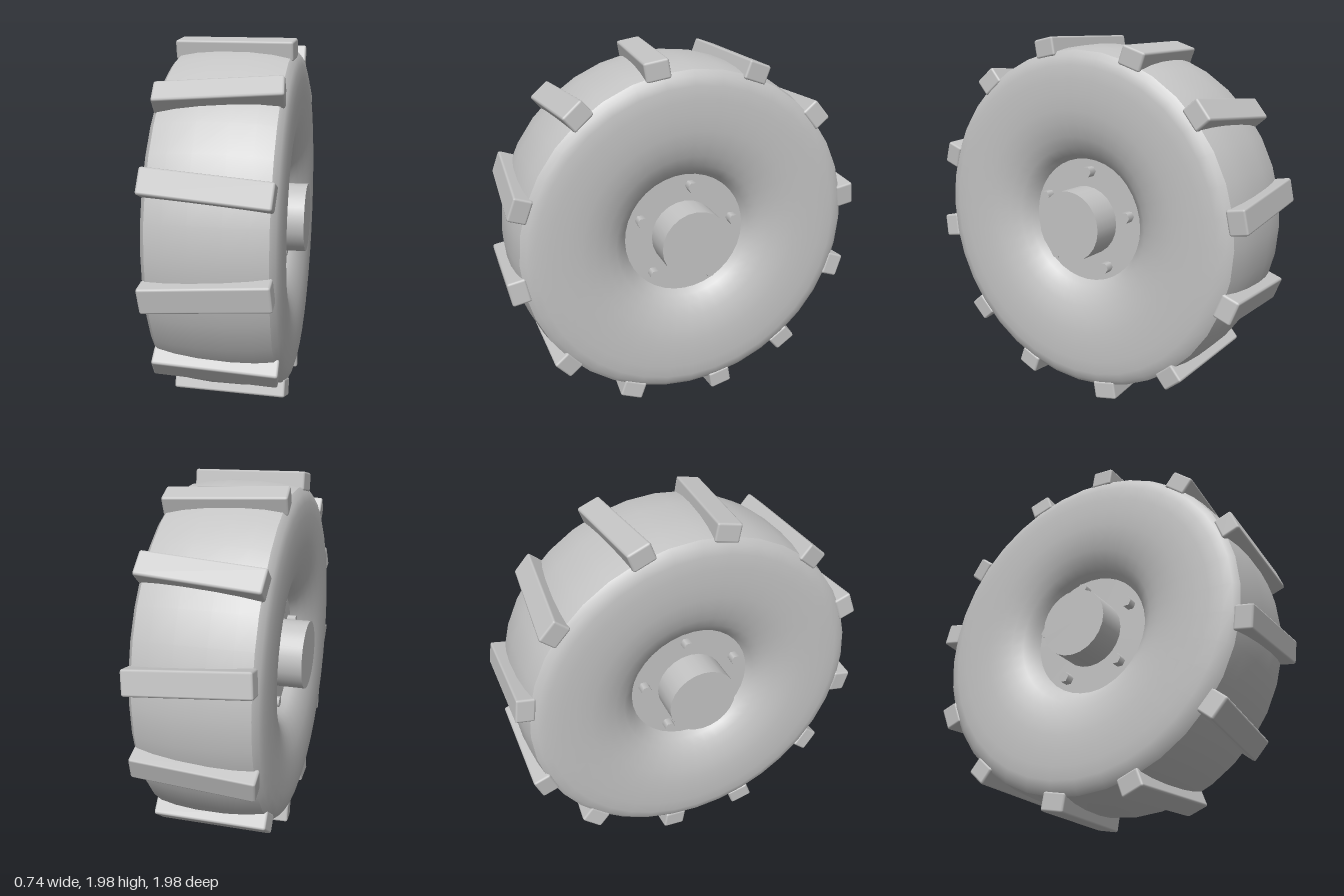
import * as THREE from 'three';
import { RoundedBoxGeometry } from 'three/addons/geometries/RoundedBoxGeometry.js';

const AXLE_HEIGHT = 0.98;
const SEGMENTS = 36;

export function createModel() {
  const grey = new THREE.MeshStandardMaterial({ color: 0xc4c4c4 });
  grey.name = 'plain grey';
  const wheel = new THREE.Group();
  wheel.name = 'wheel';
  wheel.position.y = AXLE_HEIGHT;

  const add = (name, geometry, parent = wheel) => {
    const mesh = new THREE.Mesh(geometry, grey);
    mesh.name = name;
    parent.add(mesh);
    return mesh;
  };
  // Geometry turned so that its own y axis runs along the axle (x)
  const alongAxle = (geometry) => geometry.rotateZ(-Math.PI / 2);
  // Surface of revolution from [x, radius] pairs
  const revolve = (pairs) => alongAxle(
    new THREE.LatheGeometry(pairs.map(([x, r]) => new THREE.Vector2(r, x)), SEGMENTS));

  // Slightly crowned tread band
  add('tread', revolve([[-0.29, 0.915], [-0.2, 0.932], [-0.08, 0.942], [0.08, 0.942], [0.2, 0.932], [0.29, 0.915]]));

  // Sidewall rolling over the lip and down into the dish
  const sidewall = revolve([
    [0.29, 0.915], [0.315, 0.885], [0.328, 0.84], [0.333, 0.77], [0.333, 0.69], [0.329, 0.61],
    [0.318, 0.54], [0.298, 0.47], [0.27, 0.41], [0.235, 0.365], [0.185, 0.335],
  ]);
  for (const side of [1, -1]) {
    const wall = add(side > 0 ? 'leftSidewall' : 'rightSidewall', sidewall);
    if (side < 0) wall.rotation.y = Math.PI;
  }

  // Recessed hub plate and the axle hub running through it
  add('hubPlate', alongAxle(new THREE.CylinderGeometry(0.345, 0.345, 0.39, SEGMENTS)));
  add('axleHub', alongAxle(new THREE.CylinderGeometry(0.19, 0.19, 0.74, 24)));

  // Five hexagonal bolts on each face
  const boltGeometry = alongAxle(new THREE.CylinderGeometry(0.03, 0.03, 0.07, 6));
  for (const side of [1, -1]) {
    for (let i = 0; i < 5; i++) {
      const a = THREE.MathUtils.degToRad(24 + i * 72);
      add('bolt', boltGeometry).position.set(side * 0.21, 0.278 * Math.sin(a), 0.278 * Math.cos(a));
    }
  }

  // Twelve lugs, slanted alternately
  const lugGeometry = new RoundedBoxGeometry(0.625, 0.13, 0.1, 1, 0.012);
  for (let i = 0; i < 12; i++) {
    const spoke = new THREE.Group();
    spoke.name = 'lugMount';
    spoke.rotation.x = -THREE.MathUtils.degToRad(20 + i * 30);
    const lug = add('treadLug', lugGeometry, spoke);
    lug.position.z = 0.94;
    lug.rotation.z = (i % 2 ? 1 : -1) * 0.083;
    wheel.add(spoke);
  }

  const model = new THREE.Group();
  model.name = 'luggedWheel';
  model.add(wheel);
  return model;
}
